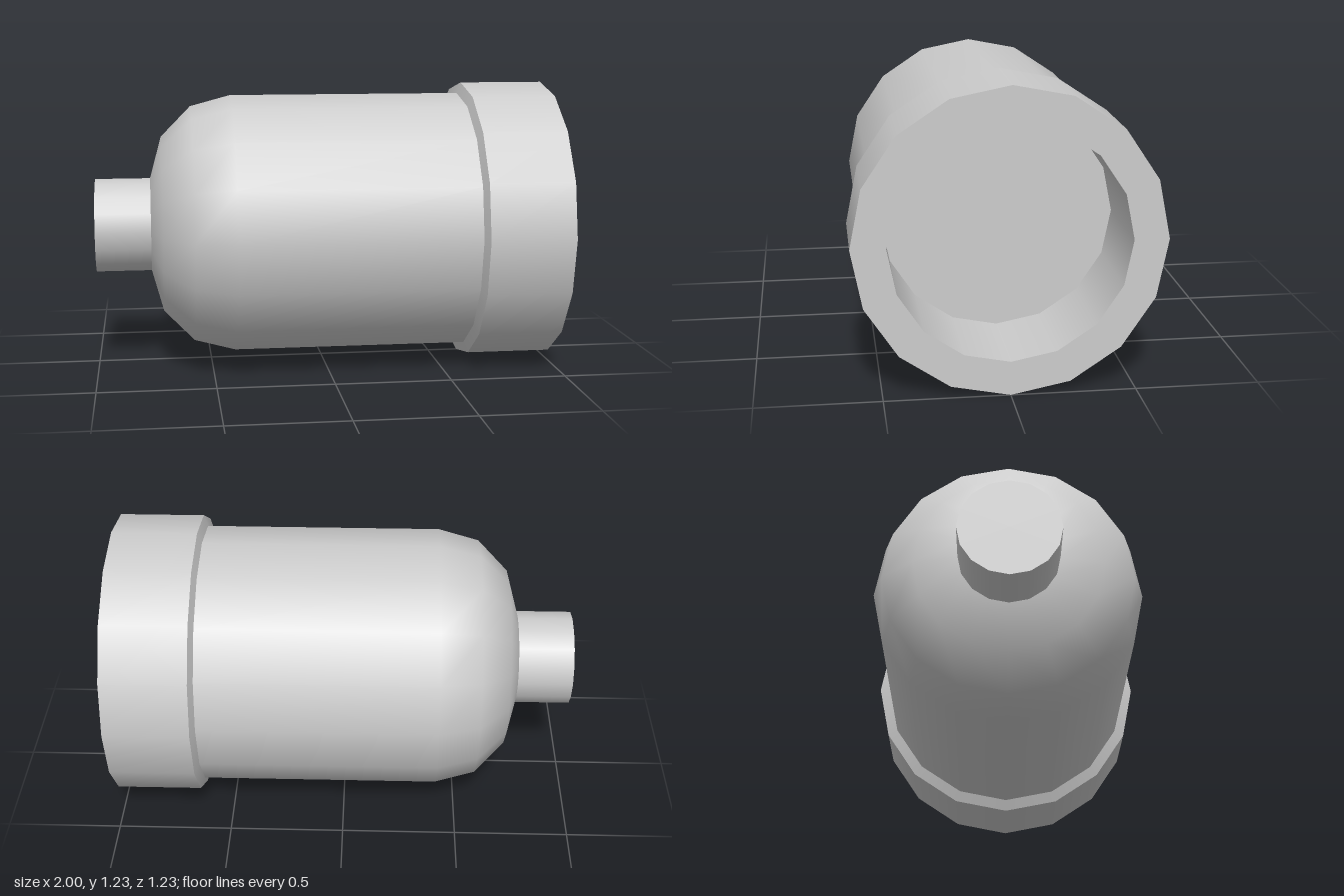
import * as THREE from 'three';

const SIDES = 16;
const AXIS_HEIGHT = 0.617;

export function createModel() {
  const model = new THREE.Group();
  model.name = 'cupHousing';
  const material = new THREE.MeshStandardMaterial({ color: 0xcccccc });

  // Revolve [x, radius] points about the x axis; each call is one smooth surface
  const revolve = (name, parent, points) => {
    const profile = points.map(([x, r]) => new THREE.Vector2(r, x));
    const geometry = new THREE.LatheGeometry(profile, SIDES);
    geometry.rotateZ(-Math.PI / 2);
    geometry.translate(0, AXIS_HEIGHT, 0);
    const mesh = new THREE.Mesh(geometry, material);
    mesh.name = name;
    parent.add(mesh);
  };
  const group = (name) => {
    const g = new THREE.Group();
    g.name = name;
    model.add(g);
    return g;
  };

  // Narrow stem at the closed end
  const stem = group('stem');
  revolve('stemCap', stem, [[-1, 0], [-1, 0.207]]);
  revolve('stemWall', stem, [[-1, 0.207], [-0.76, 0.207]]);

  // Domed main body
  revolve('body', model, [
    [-0.76, 0.207], [-0.71, 0.39], [-0.58, 0.523], [-0.405, 0.57], [0.615, 0.57],
  ]);

  // Wide collar at the open end
  const collar = group('collar');
  revolve('collarShoulder', collar, [[0.615, 0.57], [0.633, 0.617]]);
  revolve('collarWall', collar, [[0.633, 0.617], [1, 0.617]]);
  revolve('collarRim', collar, [[1, 0.617], [1, 0.478]]);

  // Blind bore inside the collar
  const bore = group('bore');
  revolve('boreWall', bore, [[1, 0.478], [0.58, 0.478]]);
  revolve('boreFloor', bore, [[0.58, 0.478], [0.58, 0]]);

  return model;
}
